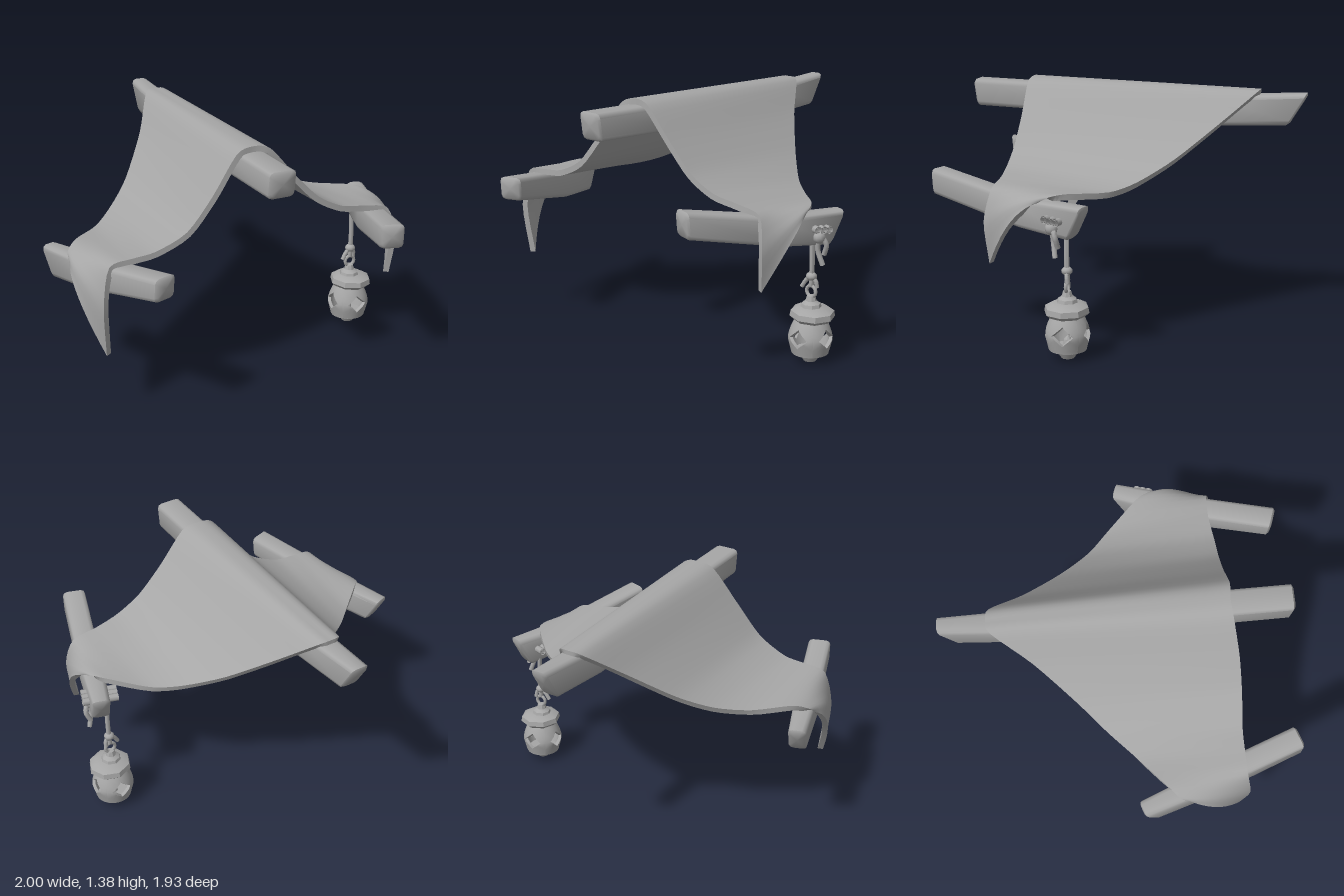
import * as THREE from 'three';
import { toCreasedNormals } from 'three/addons/utils/BufferGeometryUtils.js';

const V = (x, y, z) => new THREE.Vector3(x, y, z);
const clay = new THREE.MeshStandardMaterial({ color: 0xa6a6a6 });
clay.name = 'plain grey';

function mesh(geometry, name, parent, crease = 0.9) {
  const m = new THREE.Mesh(crease ? toCreasedNormals(geometry, crease) : geometry, clay);
  m.name = name;
  parent.add(m);
  return m;
}

function fromPoints(points, index) {
  const g = new THREE.BufferGeometry().setFromPoints(points);
  g.setIndex(index);
  return g;
}

// Sheet f(i, j) with thickness, closed along all its borders
function shell(n, m, f, thickness) {
  const pts = [], idx = [];
  const A = (i, j) => i * (m + 1) + j;
  const B = (i, j) => A(i, j) + (n + 1) * (m + 1);
  const quad = (a, b, c, d) => idx.push(a, b, c, a, c, d);
  for (let i = 0; i <= n; i++) for (let j = 0; j <= m; j++) pts.push(f(i, j));
  for (let i = 0; i < n; i++) for (let j = 0; j < m; j++)
    quad(A(i, j), A(i, j + 1), A(i + 1, j + 1), A(i + 1, j));
  const top = fromPoints(pts, [...idx]);
  top.computeVertexNormals();
  const normal = top.attributes.normal;
  const under = pts.map((p, k) =>
    p.clone().addScaledVector(V().fromBufferAttribute(normal, k), -thickness));
  for (let i = 0; i < n; i++) {
    for (let j = 0; j < m; j++) quad(B(i, j), B(i + 1, j), B(i + 1, j + 1), B(i, j + 1));
    quad(A(i, 0), A(i + 1, 0), B(i + 1, 0), B(i, 0));
    quad(A(i + 1, m), A(i, m), B(i, m), B(i + 1, m));
  }
  for (let j = 0; j < m; j++) {
    quad(A(0, j + 1), A(0, j), B(0, j), B(0, j + 1));
    quad(A(n, j), A(n, j + 1), B(n, j + 1), B(n, j));
  }
  return fromPoints([...pts, ...under], idx);
}

// Hewn beam; stations are [x, z, bottom, top, width, slant], front to back
function beam(stations) {
  const first = stations[0], last = stations.at(-1);
  const dir = V(last[0] - first[0], 0, last[1] - first[1]).normalize();
  const side = V().crossVectors(dir, V(0, 1, 0));
  const pts = [], idx = [], c = 0.025, sides = 12;
  const ring = ([x, z, yb, yt, w, slant], scale, shift) => {
    const h = yt - yb;
    for (let k = 0; k < sides; k++) {
      const q = Math.floor(k / 3), a = (q + (k % 3) / 2) * Math.PI / 2;
      const sx = q === 0 || q === 3 ? 1 : -1, sy = q < 2 ? 1 : -1;
      const px = (sx * (w / 2 - c) + c * Math.cos(a)) * scale;
      const py = (sy * (h / 2 - c) + c * Math.sin(a)) * scale;
      pts.push(V(x, (yb + yt) / 2 + py, z).addScaledVector(side, px)
        .addScaledVector(dir, shift + slant * py / h));
    }
  };
  ring(first, 0, -0.012);
  ring(first, 0.82, -0.012);
  stations.forEach(s => ring(s, 1, 0));
  ring(last, 0.82, 0.012);
  ring(last, 0, 0.012);
  for (let r = 0; r < stations.length + 3; r++) for (let k = 0; k < sides; k++) {
    const a = r * sides + k, b = r * sides + (k + 1) % sides;
    idx.push(a + sides, b + sides, b, a + sides, b, a);
  }
  return fromPoints(pts, idx);
}

const tube = (points, radius, closed = false, segments = 16) => new THREE.TubeGeometry(
  new THREE.CatmullRomCurve3(points, closed, 'centripetal'), segments, radius, 8, closed);

const lathe = (profile, sides) =>
  new THREE.LatheGeometry(profile.map(p => new THREE.Vector2(...p)), sides);

function createCloth(parent) {
  // Back and front edge points, from the left-hand tip across the ridge
  const back = [
    [-.93, .78, .32], [-.92, .82, .27], [-.85, .85, .2], [-.68, .84, .05], [-.53, .88, -.1],
    [-.38, .97, -.25], [-.2, 1.15, -.47], [-.07, 1.315, -.68], [0, 1.33, -.7], [.07, 1.315, -.68],
    [.2, 1.16, -.5], [.38, .99, -.29], [.54, .89, -.12], [.68, .86, 0], [.86, .88, .18],
    [.91, .87, .26], [.925, .84, .32]];
  const front = [
    [-.855, .36, .64], [-.875, .65, .67], [-.83, .86, .645], [-.7, .885, .64], [-.57, .9, .64],
    [-.4, .98, .65], [-.25, 1.15, .64], [-.1, 1.345, .61], [0, 1.375, .6], [.1, 1.35, .61],
    [.25, 1.18, .605], [.4, 1.03, .605], [.55, .95, .6], [.7, .92, .585], [.85, .885, .59],
    [.895, .72, .62], [.875, .49, .6]];
  const edge = list => new THREE.CatmullRomCurve3(list.map(p => V(...p)), false, 'catmullrom', 0.4);
  const b = edge(back), f = edge(front), n = 64, m = 10;
  const sheet = (i, j) => {
    const t = i / n, v = j / m;
    const p = b.getPoint(t).lerp(f.getPoint(t), v);
    // Corners bulge outwards where they hang over the side beams
    const hang = Math.max(0, Math.abs(t - 0.5) * 16 - 6) / 2;
    const bulge = 4 * v * (1 - v) * hang;
    p.x += Math.sign(t - 0.5) * 0.05 * bulge;
    p.y += 0.07 * bulge;
    return p;
  };
  mesh(shell(n, m, sheet, 0.032), 'clothCanopy', parent);
}

function createRope(parent) {
  // Loops round the beam, lying across its direction
  const across = V(0.95, 0, 0.32), along = V(-0.32, 0, 0.95);
  const loop = [[-.068, -.07], [-.05, -.1], [.05, -.1], [.07, -.07], [.07, .07], [.05, .1], [-.05, .1], [-.068, .07]];
  for (const s of [-0.03, 0.005, 0.04]) {
    const pts = loop.map(([a, h]) =>
      V(.895, .762 + s * 0.1, .2).addScaledVector(across, a).addScaledVector(along, s));
    mesh(tube(pts, 0.021, true, 40), 'ropeLoop', parent, 0);
  }
  const knot = mesh(new THREE.SphereGeometry(0.035, 10, 8), 'ropeKnot', parent, 0);
  knot.position.set(.955, .72, .235);
  mesh(tube([V(.955, .72, .235), V(.945, .65, .23), V(.968, .565, .215)], 0.014), 'looseRopeEnd', parent);
  mesh(tube([V(.96, .73, .23), V(.985, .68, .21), V(.965, .62, .2)], 0.014), 'looseRopeEnd', parent);
}

function createLantern(parent) {
  const lantern = new THREE.Group();
  lantern.name = 'lantern';
  lantern.position.set(.87, 0, .18);
  parent.add(lantern);

  // Four curved panels, each with a diamond window
  const radius = y => y < .13
    ? THREE.MathUtils.lerp(.1, .12, (y - .05) / .08)
    : .12 - .04 * ((y - .13) / .115) ** 1.6;
  const n = 24;
  const panel = (i, j) => {
    const t = -i / n * Math.PI * 2, c = Math.cos(t), s = Math.sin(t);
    const box = Math.max(Math.abs(c), Math.abs(s)), dia = Math.abs(c) + Math.abs(s), k = j / 4;
    const a = THREE.MathUtils.lerp(c / box * Math.PI / 4, c / dia * .52, k);
    const y = .147 + THREE.MathUtils.lerp(s / box * .097, s / dia * .052, k);
    const r = radius(y);
    return V(r * Math.sin(a), y, r * Math.cos(a));
  };
  const panelGeometry = shell(n, 4, panel, 0.018);
  for (let q = 0; q < 4; q++)
    mesh(panelGeometry, 'lanternPanel', lantern).rotation.y = q * Math.PI / 2;

  mesh(lathe([[0, 0], [.035, .003], [.052, .03], [.058, .042], [.1, .052], [.09, .066], [0, .066]], 12), 'lanternBase', lantern, 0.6);
  mesh(lathe([[0, .06], [.025, .065], [.022, .105], [0, .125]], 8), 'candle', lantern);
  const cap = mesh(lathe([[0, .235], [.1, .238], [.122, .258], [.117, .288], [.085, .306], [0, .312]], 8), 'lanternCap', lantern, 0.6);
  cap.rotation.z = -0.04;
  mesh(lathe([[0, .3], [.058, .305], [.052, .325], [.03, .34], [.022, .368], [0, .374]], 8), 'lanternFinial', lantern, 0.6);

  // Hanging ring, rope and its knot
  const ring = mesh(new THREE.TorusGeometry(0.03, 0.01, 8, 12), 'hangingRing', lantern, 0);
  ring.position.y = .392;
  mesh(tube([V(0, .69, 0), V(.003, .58, 0), V(0, .42, 0)], 0.014), 'hangingRope', lantern);
  const knot = mesh(new THREE.SphereGeometry(0.03, 10, 8), 'hangingKnot', lantern, 0);
  knot.position.y = .475;
  knot.scale.y = 0.8;
  mesh(tube([V(0, .475, 0), V(-.03, .45, .005), V(-.055, .41, .01)], 0.012), 'knotTail', lantern);
  mesh(tube([V(0, .475, 0), V(.025, .45, -.005), V(.03, .415, -.01)], 0.012), 'knotTail', lantern);
}

export function createModel() {
  const model = new THREE.Group();
  model.name = 'clothAwning';
  mesh(beam([[0, .925, 1.2, 1.35, .15, -.02], [0, .3, 1.175, 1.33, .15, 0],
    [0, -.5, 1.13, 1.295, .14, 0], [0, -.905, 1.14, 1.32, .1, .11]]), 'ridgeBeam', model);
  mesh(beam([[.66, .94, .81, .95, .13, -.01], [.835, .42, .695, .85, .13, 0],
    [.94, .105, .66, .84, .1, .09]]), 'leftBeam', model);
  mesh(beam([[-.65, .935, .77, .9, .13, -.01], [-.83, .42, .66, .82, .13, 0],
    [-.94, .105, .63, .79, .1, .09]]), 'rightBeam', model);
  createCloth(model);
  createRope(model);
  createLantern(model);
  return model;
}
